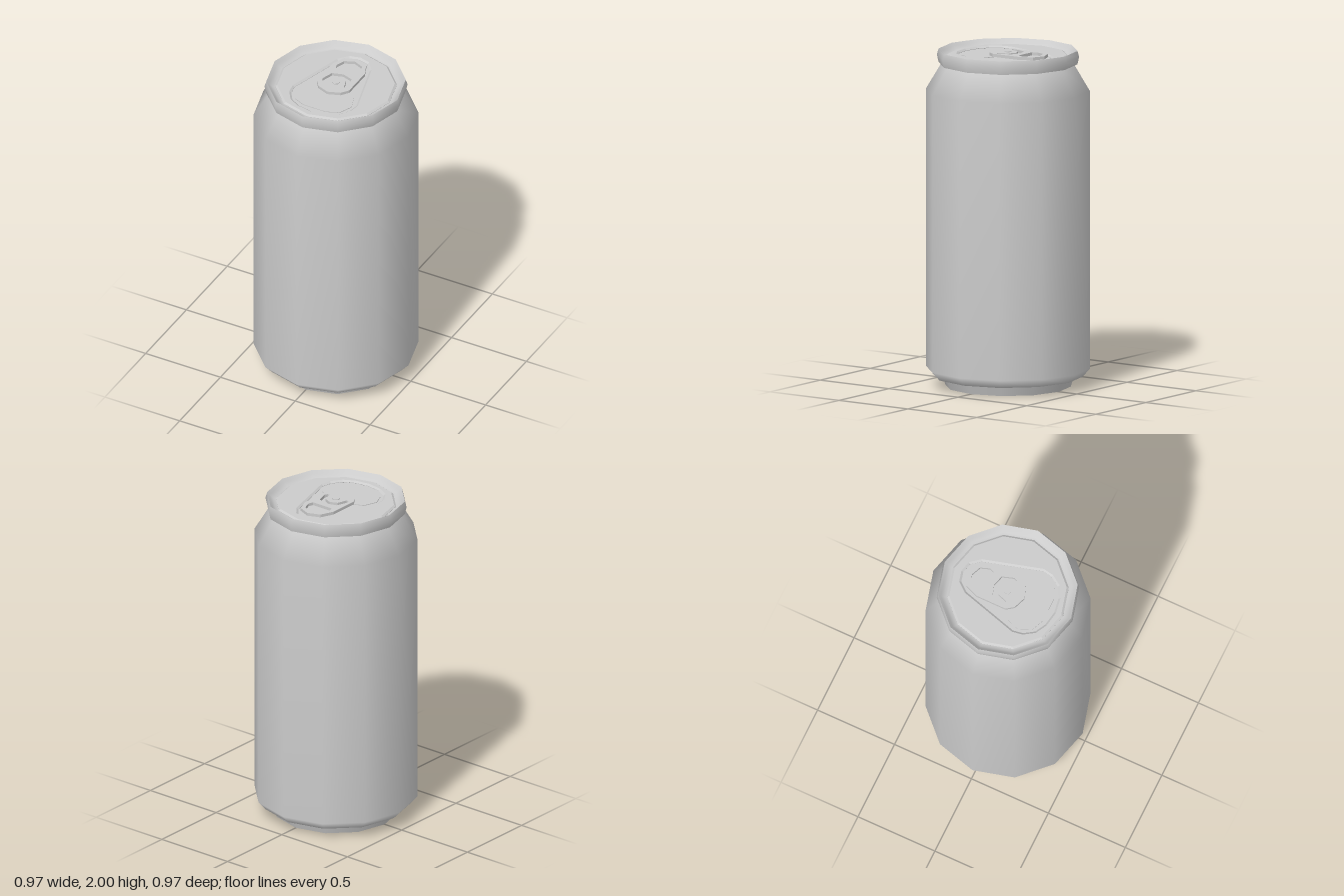
import * as THREE from 'three';

const material = new THREE.MeshStandardMaterial({ color: 0xcccccc, side: THREE.DoubleSide });

const vectors = (points) => points.map(([a, b]) => new THREE.Vector2(a, b));

// Closed outline from its +x half, listed along z
const mirrored = (half) =>
  vectors([...half, ...half.filter(([x]) => x > 0).reverse().map(([x, z]) => [-x, z])]);

const ring = (radius, sides) =>
  Array.from({ length: sides }, (_, i) => {
    const a = (i / sides) * Math.PI * 2;
    return new THREE.Vector2(radius * Math.sin(a), radius * Math.cos(a));
  });

function addMesh(group, name, geometry) {
  const mesh = new THREE.Mesh(geometry, material);
  mesh.name = name;
  group.add(mesh);
}

// Twelve-sided turned part, profile given as [radius, y] from the bottom up
function addTurned(group, name, profile) {
  addMesh(group, name, new THREE.LatheGeometry(vectors(profile), 12));
}

// Flat plate lying in x/z, with its upper face at height top
function addPlate(group, name, outline, holes, top, thickness, bevel = 0) {
  const shape = new THREE.Shape(outline);
  shape.holes = holes.map((h) => new THREE.Path(h));
  const rise = bevel ? thickness * 0.45 : 0;
  const geometry = new THREE.ExtrudeGeometry(shape, {
    depth: thickness - 2 * rise,
    bevelEnabled: bevel > 0,
    bevelThickness: rise,
    bevelSize: bevel,
    bevelOffset: -bevel,
    bevelSegments: 1,
  });
  geometry.rotateX(Math.PI / 2).translate(0, top - rise, 0);
  addMesh(group, name, geometry);
}

export function createModel() {
  const can = new THREE.Group();
  can.name = 'drinkCan';

  // Base with a domed underside
  addTurned(can, 'dome', [[0, 0.11], [0.13, 0.1], [0.25, 0.07], [0.33, 0.03], [0.35, 0]]);
  addTurned(can, 'footRim', [[0.35, 0], [0.37, 0]]);
  addTurned(can, 'foot', [[0.37, 0], [0.39, 0.06]]);

  // Body wall with tapered shoulder
  addTurned(can, 'bodyUnderside', [[0.385, 0.06], [0.44, 0.06]]);
  addTurned(can, 'body', [[0.44, 0.06], [0.485, 0.11], [0.485, 1.76], [0.39, 1.92]]);

  // Rolled rim and the sunken lid
  addTurned(can, 'rimUnderside', [[0.38, 1.92], [0.41, 1.92]]);
  addTurned(can, 'rim', [[0.41, 1.92], [0.42, 1.965], [0.41, 2]]);
  addTurned(can, 'rimInside', [[0.41, 2], [0.395, 1.985], [0.375, 1.965], [0.355, 1.963]]);
  addTurned(can, 'lidFloor', [[0.355, 1.963], [0, 1.963]]);

  // Raised panel around a teardrop recess
  const recess = mirrored([
    [0, -0.29], [0.06, -0.275], [0.105, -0.22], [0.145, -0.08], [0.205, 0.13],
    [0.195, 0.19], [0.155, 0.25], [0.09, 0.285], [0, 0.3],
  ]);
  addPlate(can, 'lidPanel', ring(0.358, 12), [recess], 1.975, 0.02, 0.012);

  // Pouring tear panel
  const mouth = mirrored([
    [0.085, 0.04], [0.155, 0.065], [0.185, 0.15], [0.15, 0.23], [0.075, 0.262],
  ]);
  addPlate(can, 'tearPanel', mouth, [], 1.967, 0.006);

  // Pull tab with finger hole and a cut around the rivet tongue
  const tab = new THREE.Group();
  tab.name = 'pullTab';
  const tabOutline = mirrored([
    [0, -0.265], [0.075, -0.235], [0.108, -0.155], [0.108, 0.035], [0.075, 0.08], [0, 0.108],
  ]);
  const fingerHole = mirrored([[0, -0.235], [0.06, -0.21], [0.08, -0.155], [0.07, -0.125]]);
  const tongueCut = mirrored([
    [0, -0.09], [0.065, -0.07], [0.088, 0], [0.08, 0.02], [0.065, 0.02], [0.045, -0.04], [0, -0.06],
  ].slice(0, 5));
  // The cut is a U: outer arc forward, inner arc back
  const inner = vectors([[-0.065, 0.02], [-0.045, -0.04], [0, -0.06], [0.045, -0.04]]);
  const cut = [...tongueCut.slice(0, 5), ...inner.slice().reverse(), ...tongueCut.slice(6)];
  addPlate(tab, 'tabPlate', tabOutline, [fingerHole, cut], 1.988, 0.018);
  const rivet = new THREE.CylinderGeometry(0.024, 0.024, 0.03, 6).translate(0, 1.977, 0);
  addMesh(tab, 'rivet', rivet);
  can.add(tab);

  return can;
}
